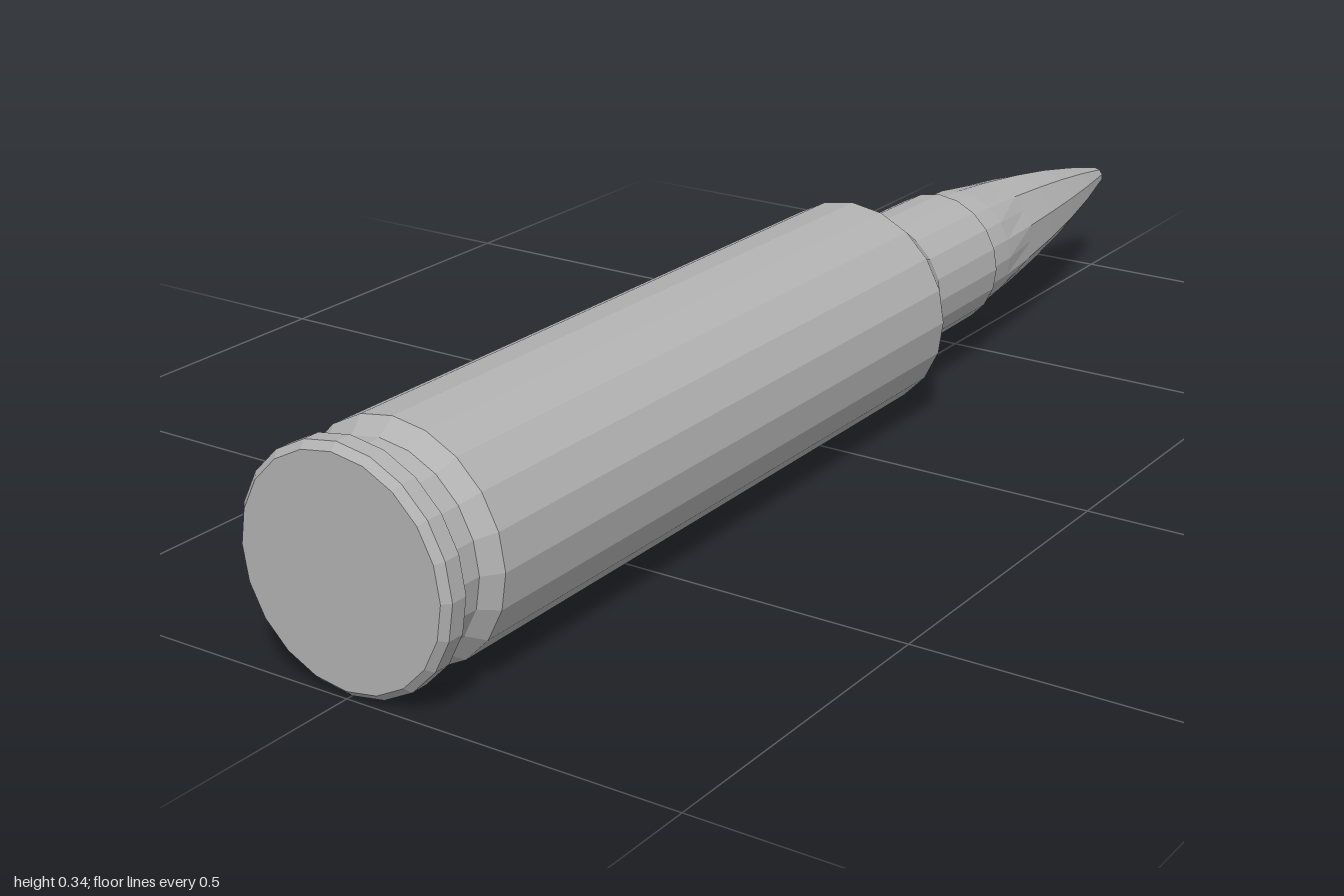
import * as THREE from 'three';

const SIDES = 20;
const AXIS_Y = 0.168;

// Turns a profile of [distance along -z, radius] pairs about the long axis.
function turned(name, profile, material, reshape) {
  const points = profile.map(([l, r]) => new THREE.Vector2(r, l));
  const geometry = new THREE.LatheGeometry(points, SIDES);
  if (reshape) reshape(geometry, profile);
  geometry.rotateX(-Math.PI / 2);
  geometry.computeVertexNormals();
  const mesh = new THREE.Mesh(geometry, material);
  mesh.name = name;
  mesh.position.y = AXIS_Y;
  return mesh;
}

// Past the given distance, flattens every second edge so 20 sides become 10.
function halveSides(start) {
  return (geometry, profile) => {
    const pos = geometry.attributes.position;
    const shrink = Math.cos((2 * Math.PI) / SIDES);
    for (let i = 0; i < pos.count; i++) {
      const column = Math.floor(i / profile.length);
      if (column % 2 === 1 && pos.getY(i) >= start - 0.001) {
        pos.setX(i, pos.getX(i) * shrink);
        pos.setZ(i, pos.getZ(i) * shrink);
      }
    }
  };
}

export function createModel() {
  const group = new THREE.Group();
  group.name = 'cartridge';
  const metal = new THREE.MeshStandardMaterial({ color: 0xb2b2b2 });
  metal.name = 'greyMetal';
  metal.flatShading = true;

  // Rim disc with a small bevel at the base
  group.add(turned('rim', [
    [-1, 0], [-1, 0.158], [-0.99, 0.168], [-0.965, 0.168], [-0.96, 0.146], [-0.96, 0],
  ], metal));

  // Extractor groove, tapered body, shoulder and neck
  group.add(turned('case', [
    [-0.96, 0.146], [-0.915, 0.147], [-0.89, 0.167], [-0.6, 0.166],
    [0.17, 0.163], [0.255, 0.11], [0.437, 0.108], [0.437, 0],
  ], metal));

  // Pointed tip, changing from 20 to 10 sides
  group.add(turned('tip', [
    [0.43, 0.1], [0.5, 0.098], [0.6, 0.088], [0.7, 0.075],
    [0.8, 0.059], [0.9, 0.039], [1, 0.015], [1, 0],
  ], metal, halveSides(0.6)));

  return group;
}
